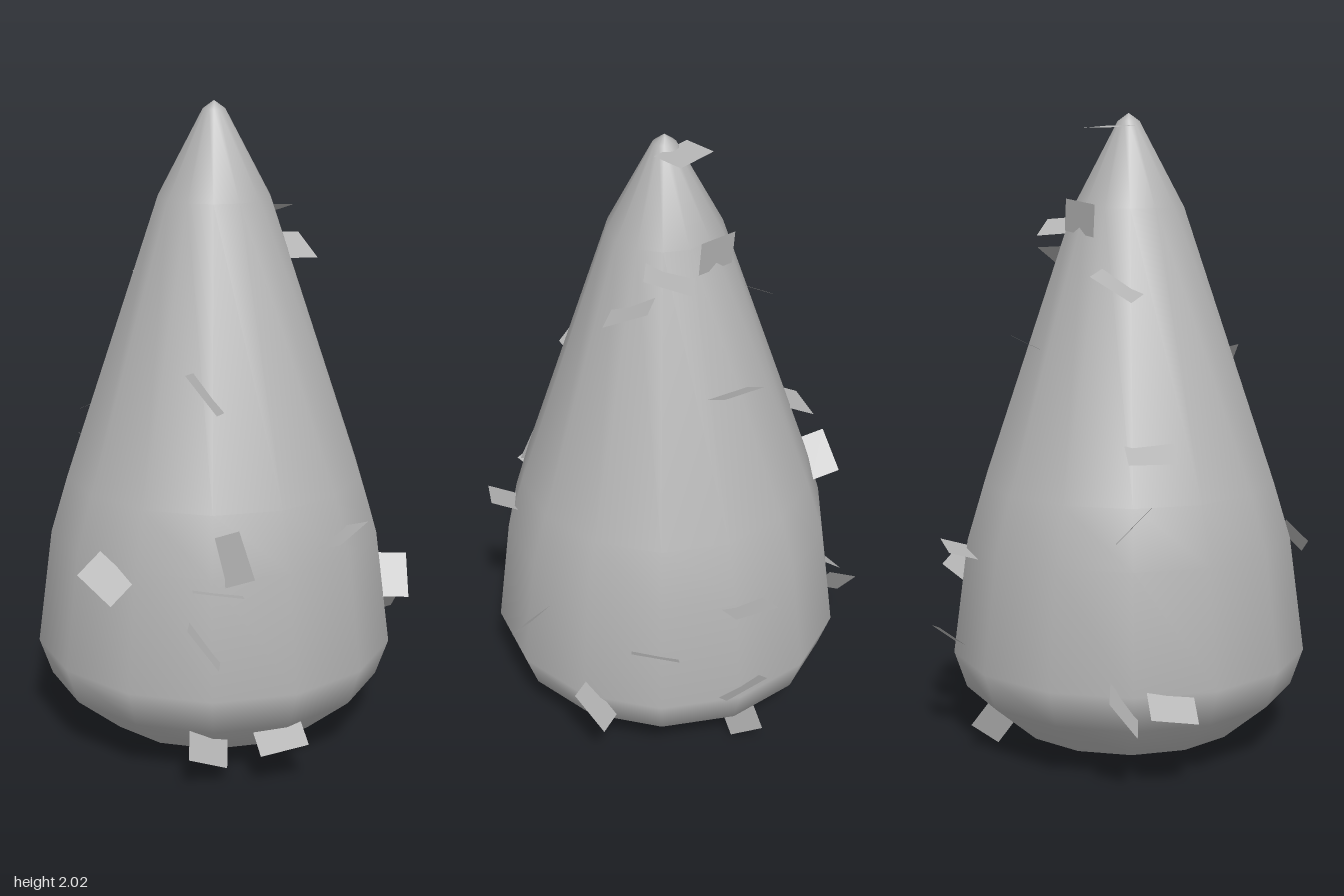
import * as THREE from 'three';

const SIDES = 14;
const AXIS_X = -0.008;
const AXIS_Z = 0.043;

// Cone outline, radius and height, from foot to tip
const PROFILE = [
  [0.385, 0.035], [0.54, 0.17], [0.58, 0.29], [0.53, 0.66],
  [0.475, 0.84], [0.178, 1.71], [0.035, 1.975], [0, 2],
].map(([r, y]) => new THREE.Vector2(r, y));

// Flakes: degrees around from the front, height, roll and lean in degrees
const FLAKES = [
  [142, 1.96, 0, -33], [96, 1.65, -19, -25], [67, 1.55, 26, -25], [186, 1.49, -32, -35],
  [141, 1.65, -6, 70], [128, 1.28, -4, 8], [-41, 1.18, -51, -15], [200, 1.01, 0, -45],
  [193, 0.79, 45, 0], [204, 0.28, -11, -17], [190, 0.27, -57, 0], [124, 0.09, 70, 0],
  [119, 0.63, -4, 10], [116, 0.33, 14, 30], [88, 0.49, -9, 30], [70, 0.29, -46, 0],
  [43, 0.5, 50, -15], [8, 0.73, 14, 5], [-16, 0.15, 16, 25], [-41, 0.47, -52, 0],
  [-35, 0.71, -73, 60], [-37, 0.62, -7, 10], [-73, 0.65, -27, -55], [-40, 0.13, -41, 0],
];

// Matrix that stands a flake on the cone surface
function flakeMatrix([around, height, roll, lean]) {
  const [a, rho, tilt] = [around, roll, lean].map(THREE.MathUtils.degToRad);
  const i = PROFILE.findIndex((p) => p.y > height);
  const low = PROFILE[i - 1];
  const slope = PROFILE[i].clone().sub(low);
  const radius = low.x + (slope.x * (height - low.y)) / slope.y;
  slope.normalize();

  // Surface directions: sideways, up the slope, outward
  const side = new THREE.Vector3(Math.cos(a), 0, -Math.sin(a));
  const up = new THREE.Vector3(slope.x * Math.sin(a), slope.y, slope.x * Math.cos(a));
  const out = side.clone().cross(up);

  // Long edge lies in the surface, short edge stands out of it
  const long = side.clone().multiplyScalar(Math.cos(rho)).addScaledVector(up, Math.sin(rho));
  const short = out.clone().cross(long).multiplyScalar(Math.sin(tilt)).addScaledVector(out, Math.cos(tilt));
  const centre = new THREE.Vector3(radius * Math.sin(a), height, radius * Math.cos(a)).addScaledVector(short, 0.03);
  return new THREE.Matrix4().makeBasis(long, short, long.clone().cross(short)).setPosition(centre);
}

export function createModel() {
  const group = new THREE.Group();
  group.position.set(AXIS_X, 0, AXIS_Z);
  const grey = new THREE.MeshStandardMaterial({ color: 0xb4b4b4, side: THREE.DoubleSide });
  grey.name = 'grey';

  const add = (name, geometry, parent) => {
    const mesh = new THREE.Mesh(geometry, grey);
    mesh.name = name;
    parent.add(mesh);
  };

  // Smooth cone with a tucked-in foot
  add('coneBody', new THREE.LatheGeometry(PROFILE, SIDES, Math.PI / SIDES), group);

  // Flat underside
  const foot = PROFILE[0];
  add('base', new THREE.CircleGeometry(foot.x, SIDES).rotateX(Math.PI / 2).translate(0, foot.y, 0), group);

  // Thin flakes stuck in the surface
  const flakes = new THREE.Group();
  flakes.name = 'flakes';
  group.add(flakes);
  for (const flake of FLAKES) {
    add('flake', new THREE.PlaneGeometry(0.15, 0.1).applyMatrix4(flakeMatrix(flake)), flakes);
  }
  return group;
}
